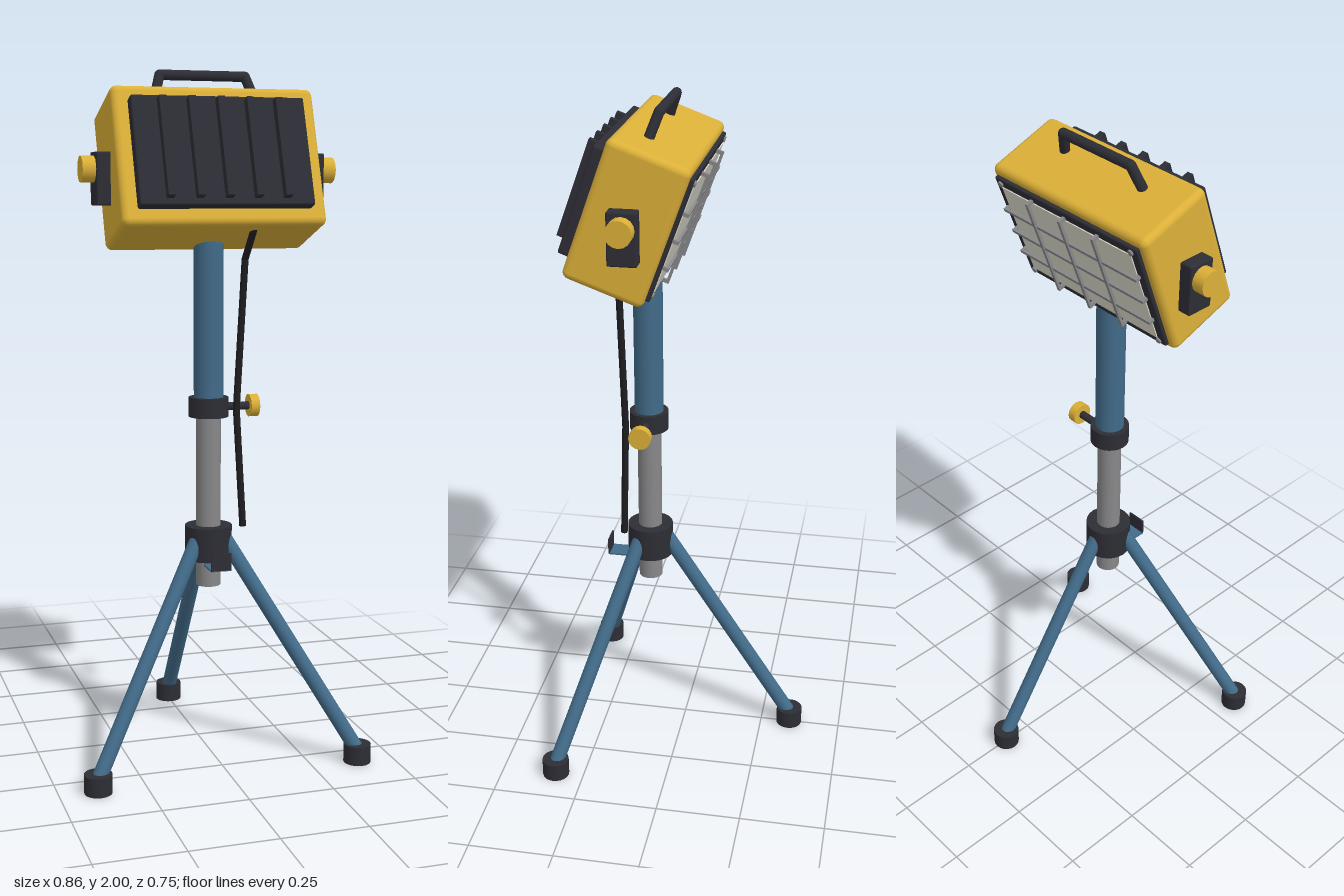
import * as THREE from 'three';
import { RoundedBoxGeometry } from 'three/addons/geometries/RoundedBoxGeometry.js';

const mat = (name, color) => {
  const m = new THREE.MeshStandardMaterial({ color });
  m.name = name;
  return m;
};

export function createModel() {
  const yellow = mat('yellow paint', 0xdcb038);
  const blue = mat('blue paint', 0x426b89);
  const dark = mat('dark plastic', 0x2d2d35);
  const cableBlack = mat('cable black', 0x1e1e22);
  const steel = mat('steel', 0x88888a);
  const glass = mat('pale lens', 0xdcdacc);

  const model = new THREE.Group();
  model.name = 'workLight';
  const Z = 0.11; // mast axis

  const add = (parent, name, geo, material, x = 0, y = 0, z = 0) => {
    const m = new THREE.Mesh(geo, material);
    m.name = name;
    m.position.set(x, y, z);
    parent.add(m);
    return m;
  };
  const box = (parent, name, material, w, h, d, x, y, z) =>
    add(parent, name, new THREE.BoxGeometry(w, h, d), material, x, y, z);
  const rounded = (parent, name, material, w, h, d, r, x, y, z) =>
    add(parent, name, new RoundedBoxGeometry(w, h, d, 3, r), material, x, y, z);
  // Upright cylinder between two heights on the mast axis
  const post = (name, material, r, y0, y1) =>
    add(model, name, new THREE.CylinderGeometry(r, r, y1 - y0, 24), material, 0, (y0 + y1) / 2, Z);
  // Straight round bar between two points
  const bar = (parent, name, material, r, a, b) => {
    const dir = b.clone().sub(a);
    const m = add(parent, name, new THREE.CylinderGeometry(r, r, dir.length(), 16), material);
    m.position.copy(a).addScaledVector(dir, 0.5);
    m.quaternion.setFromUnitVectors(new THREE.Vector3(0, 1, 0), dir.normalize());
    return m;
  };
  // Chain of bars with ball joints at the bends
  const bentBar = (parent, name, material, r, coords) => {
    const g = new THREE.Group();
    g.name = name;
    parent.add(g);
    const pts = coords.map((c) => new THREE.Vector3(...c));
    pts.forEach((p, i) => {
      if (i === 0) return;
      bar(g, name + 'Section', material, r, pts[i - 1], p);
      if (i < pts.length - 1) add(g, name + 'Bend', new THREE.SphereGeometry(r, 12, 8), material, p.x, p.y, p.z);
    });
  };

  // Telescopic mast
  post('innerMast', steel, 0.036, 0.51, 1.06);
  post('outerMast', blue, 0.043, 1.04, 1.6);
  post('mastCollar', dark, 0.058, 1.013, 1.07);
  post('tripodHub', dark, 0.069, 0.59, 0.69);

  // Height clamp screw
  const V = (x, y, z) => new THREE.Vector3(x, y, z);
  bar(model, 'clampStem', dark, 0.012, V(0.04, 1.04, Z), V(0.125, 1.04, Z));
  bar(model, 'clampKnob', yellow, 0.033, V(0.122, 1.04, Z), V(0.148, 1.04, Z));

  // Tripod legs and feet, 120 degrees apart, one straight back
  for (let i = 0; i < 3; i++) {
    const a = Math.PI + (i * Math.PI * 2) / 3;
    const at = (r, y) => V(Math.sin(a) * r, y, Z + Math.cos(a) * r);
    bar(model, 'leg', blue, 0.022, at(0.05, 0.65), at(0.45, 0.035));
    const f = at(0.45, 0.0275);
    add(model, 'foot', new THREE.CylinderGeometry(0.04, 0.04, 0.055, 20), dark, f.x, f.y, f.z);
  }

  // Thin cable rest on the front of the hub
  box(model, 'cableRest', blue, 0.06, 0.005, 0.075, 0, 0.582, 0.2);
  box(model, 'cableRestLip', dark, 0.06, 0.05, 0.005, 0, 0.607, 0.237);

  // Power cable
  bentBar(model, 'cable', cableBlack, 0.01, [
    [0.1, 1.6, 0.26], [0.094, 1.55, 0.23], [0.088, 1.47, 0.175], [0.066, 1.04, 0.168], [0.085, 0.695, 0.174],
  ]);

  // Lamp head, tilted to shine down and backwards
  const head = new THREE.Group();
  head.name = 'lampHead';
  head.position.set(0, 1.72, Z);
  head.rotation.x = -0.35;
  model.add(head);
  rounded(head, 'housing', yellow, 0.59, 0.405, 0.235, 0.02, 0, 0, 0);

  // Cooling plate with fins
  rounded(head, 'coolingPlate', dark, 0.5, 0.315, 0.04, 0.006, 0, 0, 0.131);
  for (let i = -2; i <= 2; i++) {
    box(head, 'coolingFin', dark, 0.02, 0.285, 0.032, i * 0.0835, 0.003, 0.162);
  }

  // Lens, frame and corner screws
  rounded(head, 'lensFrame', dark, 0.55, 0.36, 0.016, 0.005, 0, 0, -0.121);
  box(head, 'lens', glass, 0.5, 0.31, 0.004, 0, 0, -0.13);
  for (const sx of [-1, 1]) {
    for (const sy of [-1, 1]) {
      bar(head, 'frameScrew', steel, 0.009, V(sx * 0.252, sy * 0.165, -0.125), V(sx * 0.252, sy * 0.165, -0.134));
    }
  }

  // Guard grille with short stand-offs at the bar ends
  for (let i = -1; i <= 1; i++) {
    const x = i * 0.127;
    const y = i * 0.08;
    box(head, 'guardUpright', steel, 0.01, 0.33, 0.008, x, 0, -0.147);
    box(head, 'guardCrossbar', steel, 0.52, 0.01, 0.008, 0, y, -0.143);
    for (const s of [-1, 1]) {
      box(head, 'guardStandoff', steel, 0.01, 0.01, 0.02, x, s * 0.16, -0.137);
      box(head, 'guardStandoff', steel, 0.01, 0.01, 0.02, s * 0.255, y, -0.134);
    }
  }

  // Carrying handle
  bentBar(head, 'handle', dark, 0.0145, [
    [-0.15, 0.195, 0.032], [-0.127, 0.27, 0.032], [0.127, 0.27, 0.032], [0.15, 0.195, 0.032],
  ]);

  // Pivot brackets and tilt knobs on both sides
  for (const s of [-1, 1]) {
    rounded(model, 'pivotBracket', dark, 0.045, 0.147, 0.082, 0.005, s * 0.312, 1.694, Z);
    bar(model, 'tiltKnob', yellow, 0.037, V(s * 0.33, 1.72, Z), V(s * 0.372, 1.72, Z));
  }
  return model;
}
